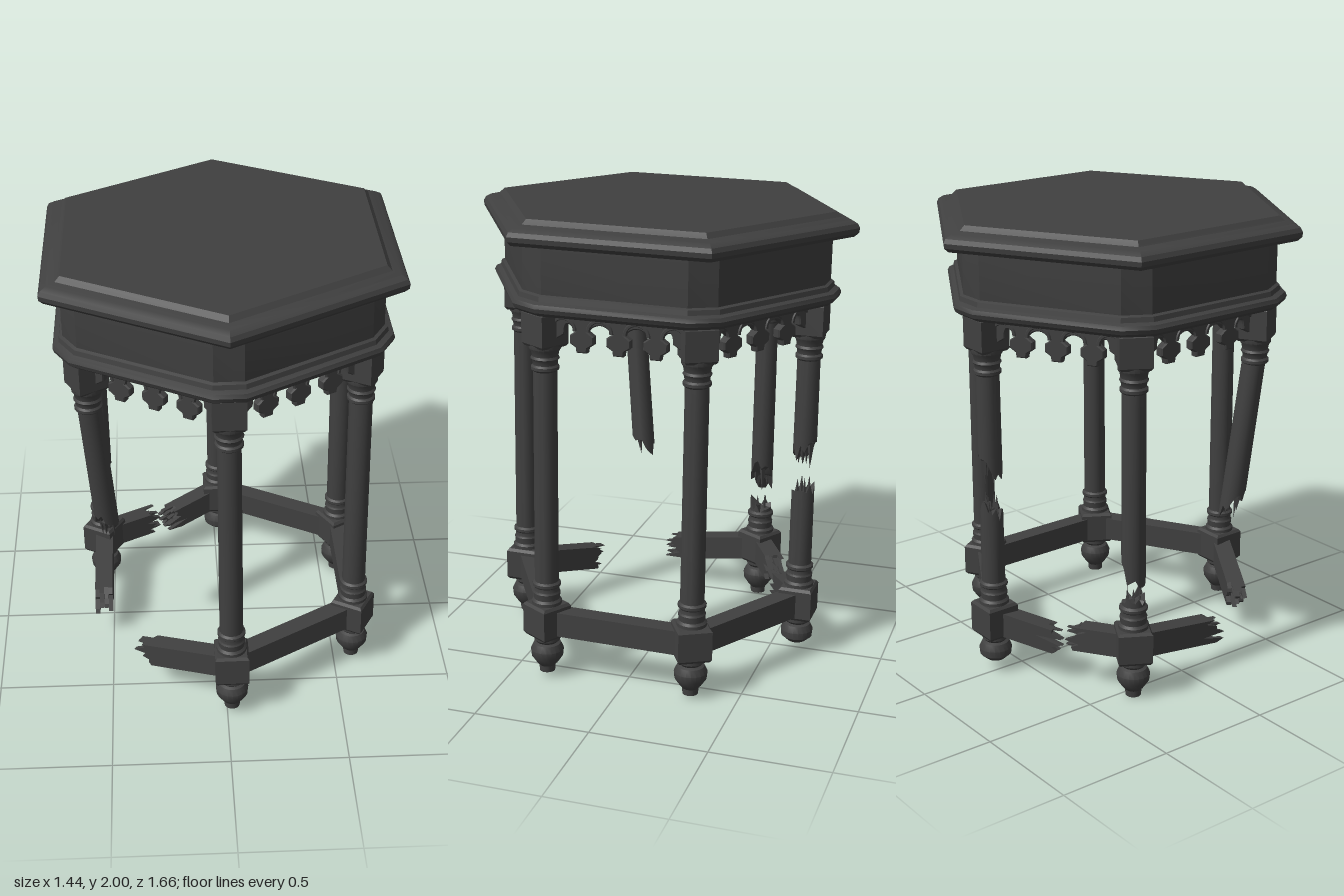
import * as THREE from 'three';
import { toCreasedNormals } from 'three/addons/utils/BufferGeometryUtils.js';

const SIDE = Math.PI / 3;
const LEG_R = 0.645;
const SHAFT_R = 0.05;
const wood = new THREE.MeshStandardMaterial({ color: 0x404040 });

// repeatable noise in 0..1
const noise = (n) => {
  const s = Math.sin(n * 12.9898 + 4.1) * 43758.5453;
  return s - Math.floor(s);
};

function part(name, geometry, crease = 0.6) {
  const mesh = new THREE.Mesh(toCreasedNormals(geometry, crease), wood);
  mesh.name = name;
  return mesh;
}

const lathe = (points, segments) =>
  new THREE.LatheGeometry(points.map(([r, y]) => new THREE.Vector2(r, y)), segments);

const legSpot = (i) =>
  new THREE.Vector3(LEG_R * Math.sin(i * SIDE), 0, LEG_R * Math.cos(i * SIDE));

// hexagon with cut corners, lofted through [side distance, corner distance, y]
function cutHexLoft(profile) {
  const pos = [], index = [];
  for (const [a, c, y] of profile) {
    const w = Math.max(0, (a - c * Math.cos(SIDE / 2)) / Math.sin(SIDE / 2));
    for (let i = 0; i < 6; i++) {
      const s = Math.sin(i * SIDE), k = Math.cos(i * SIDE);
      for (const t of [-w, w]) pos.push(c * s + t * k, y, c * k - t * s);
    }
  }
  for (let j = 0; j < profile.length - 1; j++) {
    for (let i = 0; i < 12; i++) {
      const a = j * 12 + i, b = j * 12 + (i + 1) % 12;
      index.push(a, b, a + 12, b, b + 12, a + 12);
    }
  }
  const g = new THREE.BufferGeometry();
  g.setAttribute('position', new THREE.Float32BufferAttribute(pos, 3));
  g.setIndex(index);
  return g;
}

// round shaft from y0 to y1; the end named by broken (+1 top, -1 bottom) is slanted and jagged
function shaft(y0, y1, broken = 0, slantX = 0, slantZ = 0, seed = 1) {
  const g = new THREE.CylinderGeometry(SHAFT_R - 0.001, SHAFT_R + 0.001, y1 - y0, 18, 1);
  g.translate(0, (y0 + y1) / 2, 0);
  if (broken) {
    const p = g.attributes.position, end = broken > 0 ? y1 : y0;
    for (let i = 0; i < p.count; i++) {
      if (Math.abs(p.getY(i) - end) > 1e-4) continue;
      const x = p.getX(i), z = p.getZ(i);
      const k = (Math.round(Math.atan2(x, z) / (Math.PI / 9)) + 18) % 18;
      const jag = Math.hypot(x, z) < 0.01 ? -0.01 * broken : (noise(k + seed * 31) - 0.5) * 0.07;
      p.setY(i, end + jag + (slantX * x + slantZ * z) / SHAFT_R);
    }
  }
  return part('shaft', g, broken ? 0.4 : 0.6);
}

// thin slivers standing out of a broken shaft end
function slivers(y, dir, seed) {
  const group = new THREE.Group();
  group.name = 'splinters';
  for (let i = 0; i < 4; i++) {
    const len = 0.07 + 0.06 * noise(seed + i);
    const m = part('splinter', new THREE.ConeGeometry(0.016, len, 4), 0.3);
    const a = i * 1.6 + seed;
    m.position.set(0.026 * Math.sin(a), y, 0.026 * Math.cos(a));
    if (dir < 0) m.rotation.x = Math.PI;
    group.add(m);
  }
  return group;
}

const FOOT = [[0, 0.012], [0.033, 0.012], [0.035, 0.04], [0.046, 0.052], [0.068, 0.085], [0.071, 0.115],
  [0.058, 0.142], [0.045, 0.148], [0.056, 0.16], [0.056, 0.19]];
const WORN_FOOT = [[0, 0.06], [0.04, 0.06], [0.068, 0.085], [0.071, 0.115],
  [0.058, 0.142], [0.045, 0.148], [0.056, 0.16], [0.056, 0.19]];
const BASE = [[0.064, 0.32], [0.064, 0.342], [0.055, 0.352], [0.058, 0.38], [0.053, 0.388],
  [0.053, 0.405], [0.06, 0.412], [0.06, 0.424], [0.048, 0.434]];
const CAPITAL = [[0.048, 1.355], [0.058, 1.364], [0.058, 1.376], [0.051, 1.384], [0.053, 1.4],
  [0.06, 1.41], [0.054, 1.42], [0.058, 1.44], [0.066, 1.452], [0.066, 1.47]];

// square block with bevelled ends
function block(name, width, y0, y1, angle) {
  const r = width * Math.SQRT1_2, b = 0.012;
  const g = lathe([[0, y0], [r - b, y0], [r, y0 + b], [r, y1 - b], [r - b, y1], [0, y1]], 4);
  g.rotateY(Math.PI / 4 + angle);
  return part(name, g, 0.3);
}

function leg(i) {
  const group = new THREE.Group();
  group.name = 'leg' + (i + 1);
  group.position.copy(legSpot(i));
  group.add(block('upperBlock', 0.135, 1.46, 1.61, i * SIDE), part('capital', lathe(CAPITAL, 20)));
  if (i !== 5) {
    group.add(part('foot', lathe(i === 3 ? WORN_FOOT : FOOT, 20)),
      block('lowerBlock', 0.145, 0.178, 0.328, i * SIDE),
      part('base', lathe(BASE, 20)));
  }
  if (i < 3) group.add(shaft(0.33, 1.45));
  if (i === 3) {
    // snapped at mid height
    group.add(shaft(0.33, 0.76, 1, 0.01, -0.03, 2), slivers(0.775, 1, 2));
    group.add(shaft(0.95, 1.45, -1, 0.02, -0.05, 3), slivers(0.93, -1, 3));
  }
  if (i === 4) {
    // snapped just above the base
    group.add(shaft(0.33, 0.465, 1, 0.0, 0.01, 4), slivers(0.45, 1, 4));
    group.add(shaft(0.6, 1.45, -1, 0.06, 0.01, 5), slivers(0.6, -1, 5));
  }
  if (i === 5) {
    // loose upper half swinging inward, its lower half gone
    const loose = new THREE.Group();
    loose.name = 'hangingShaft';
    loose.add(shaft(-0.66, 0.02, -1, -0.02, 0.05, 6), slivers(-0.68, -1, 6));
    loose.position.y = 1.4;
    loose.rotation.set(0.1, 0, 0.065);
    group.add(loose);
  }
  return group;
}

// rail from leg i toward leg j; a broken one is a bundle of jagged layers
function rail(i, j, length, droop = 0) {
  const a = legSpot(i), d = legSpot(j).sub(a);
  const group = new THREE.Group();
  group.name = 'stretcher';
  group.position.set(a.x, 0.248, a.z);
  group.rotation.order = 'YXZ';
  group.rotation.set(0, Math.atan2(-d.z, d.x), -droop);
  if (!length) {
    const g = new THREE.BoxGeometry(LEG_R, 0.108, 0.08);
    g.translate(LEG_R / 2, 0, 0);
    group.add(part('rail', g));
    return group;
  }
  for (let k = 0; k < 4; k++) {
    const s = new THREE.Shape();
    s.moveTo(0, -0.054);
    for (let n = 0; n <= 7; n++) {
      const tip = (n % 2 ? 0 : -0.04) - 0.09 * noise(n * 3 + k * 17 + i * 5 + j);
      s.lineTo(length + tip + 0.02, -0.054 + 0.108 * n / 7);
    }
    s.lineTo(0, 0.054);
    const g = new THREE.ExtrudeGeometry(s, { depth: 0.02, bevelEnabled: false });
    g.translate(0, 0, -0.04 + k * 0.02);
    group.add(part('railLayer', g, 0.3));
  }
  return group;
}

// pierced frieze hanging between two legs
function frieze(i) {
  const group = new THREE.Group();
  group.name = 'frieze';
  const half = [[0.018, 1.455], [0.021, 1.474], [0.046, 1.49], [0.046, 1.518], [0.018, 1.538]];
  const drop = [...half.map(([x, y]) => [-x, y]).reverse(), ...half];
  const s = new THREE.Shape();
  s.moveTo(-0.27, 1.61);
  s.lineTo(-0.27, 1.5);
  s.lineTo(-0.232, 1.525);
  for (const cx of [-0.155, 0, 0.155]) {
    s.quadraticCurveTo(cx - 0.075, 1.61, cx - 0.018, 1.538);
    drop.forEach(([x, y]) => s.lineTo(cx + x, y));
  }
  s.quadraticCurveTo(0.23, 1.61, 0.232, 1.525);
  s.lineTo(0.27, 1.5);
  s.lineTo(0.27, 1.61);
  const g = new THREE.ExtrudeGeometry(s, {
    depth: 0.026, bevelEnabled: true, bevelSize: 0.005, bevelThickness: 0.006, bevelSegments: 1, curveSegments: 8,
  });
  g.translate(0, 0, -0.013);
  group.add(part('lace', g, 0.4));
  for (const x of [-0.2325, -0.0775, 0.0775, 0.2325]) {
    const arch = part('arch', new THREE.TorusGeometry(0.05, 0.01, 6, 12, Math.PI));
    arch.position.set(x, 1.54, 0.016);
    group.add(arch);
  }
  const angle = (i + 0.5) * SIDE, r = LEG_R * Math.cos(SIDE / 2) + 0.01;
  group.position.set(r * Math.sin(angle), 0, r * Math.cos(angle));
  group.rotation.y = angle;
  return group;
}

export function createModel() {
  const model = new THREE.Group();
  model.name = 'brokenHexagonalTable';

  model.add(part('tabletop', lathe([[0, 1.88], [0.76, 1.88], [0.81, 1.888], [0.829, 1.905], [0.832, 1.925],
    [0.822, 1.943], [0.795, 1.957], [0.755, 1.966], [0.737, 1.982], [0.733, 1.986], [0, 1.986]], 6), 0.5));
  model.add(part('apron', cutHexLoft([[0, 0, 1.602], [0.635, 0.7, 1.602], [0.645, 0.71, 1.66],
    [0.645, 0.71, 1.885]]), 0.4));
  model.add(part('apronMoulding', cutHexLoft([[0.63, 0.695, 1.6], [0.66, 0.725, 1.606], [0.68, 0.748, 1.622],
    [0.687, 0.755, 1.64], [0.68, 0.748, 1.656], [0.662, 0.727, 1.664], [0.658, 0.723, 1.684],
    [0.645, 0.71, 1.69]]), 0.5));

  for (let i = 0; i < 6; i++) model.add(leg(i), frieze(i));

  // three whole rails, then the snapped ones
  for (let i = 0; i < 3; i++) model.add(rail(i, i + 1));
  model.add(rail(0, 5, 0.45, 0.2), rail(3, 4, 0.32, 0.15), rail(4, 3, 0.3, 0.04), rail(4, 5, 0.47, 0.14));

  // the whole table leans slightly
  model.rotation.set(-0.0125, 0, 0.0125);
  model.position.set(0.022, 0, 0.024);
  const root = new THREE.Group();
  root.name = 'table';
  root.add(model);
  return root;
}
